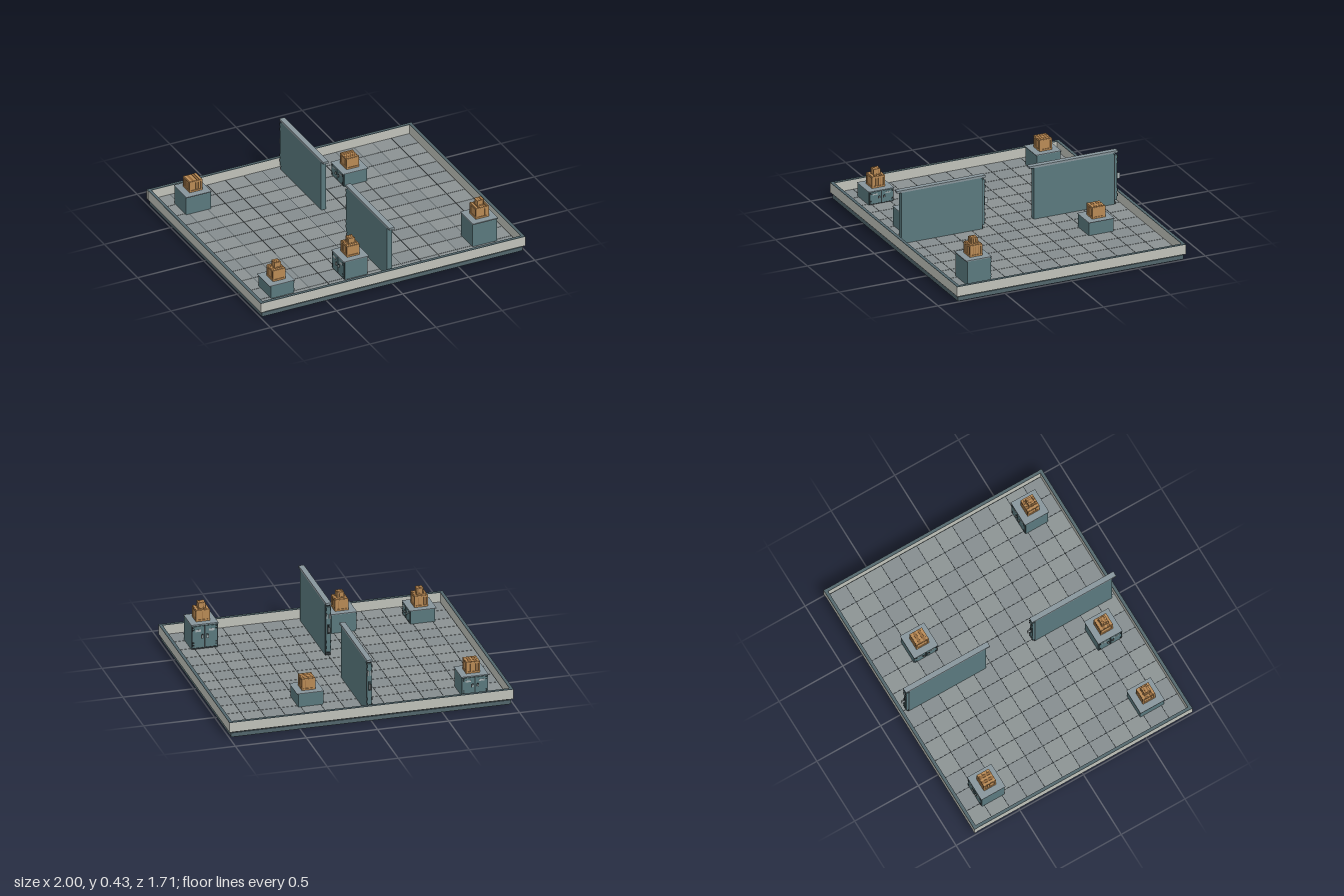
import * as THREE from 'three';

const mat = (color) => new THREE.MeshStandardMaterial({ color });
const M = {
  teal: mat(0x5a797e), base: mat(0x52666c), dark: mat(0x2b3336), cap: mat(0x87959b),
  panel: mat(0xc0c2ba), tileA: mat(0x8b9293), tileB: mat(0x858c8e),
  wood: mat(0xb98a55), woodDark: mat(0x94683a), light: mat(0xaab3b5),
};
const unitBox = new THREE.BoxGeometry(1, 1, 1);

// Box given by centre x, bottom y, centre z and size
function box(parent, name, material, x, y, z, w, h, d) {
  const m = new THREE.Mesh(unitBox, material);
  m.name = name;
  m.position.set(x, y + h / 2, z);
  m.scale.set(w, h, d);
  parent.add(m);
  return m;
}

// Cabinet in a 1 x 1 x 1 space, doors facing +z, standing on y = 0
function cabinet(name) {
  const g = new THREE.Group();
  g.name = name;
  box(g, 'body', M.teal, 0, 0, 0.005, 0.98, 0.96, 0.91);
  box(g, 'plinth', M.dark, 0, 0, 0.465, 0.94, 0.05, 0.02);
  box(g, 'worktop', M.cap, 0, 0.96, 0, 1, 0.04, 1);
  box(g, 'doorGap', M.dark, 0, 0.05, 0.462, 0.95, 0.88, 0.012);
  for (const s of [-1, 1]) {
    box(g, 'door', M.teal, s * 0.24, 0.07, 0.475, 0.43, 0.85, 0.034);
    box(g, 'doorPlate', M.light, s * 0.25, 0.7, 0.492, 0.2, 0.09, 0.012);
    box(g, 'handleMount', M.dark, s * 0.1, 0.42, 0.497, 0.09, 0.17, 0.02);
    box(g, 'handle', M.light, s * 0.1, 0.455, 0.52, 0.05, 0.1, 0.036);
    for (const y of [0.14, 0.24, 0.76, 0.86])
      box(g, 'hinge', M.dark, s * 0.42, y, 0.494, 0.06, 0.05, 0.02);
  }
  return g;
}

// Wooden crate in a 1 x 1 x 1 space, standing on y = 0
function crate(name) {
  const g = new THREE.Group();
  g.name = name;
  box(g, 'core', M.woodDark, 0, 0.02, 0, 0.86, 0.94, 0.86);
  for (let side = 0; side < 4; side++) {
    const face = new THREE.Group();
    face.name = 'crateSide';
    face.rotation.y = (side * Math.PI) / 2;
    for (let i = -1.5; i <= 1.5; i++)
      box(face, 'plank', M.wood, i * 0.2, 0.05, 0.435, 0.18, 0.86, 0.04);
    for (const y of [0, 0.82]) box(face, 'rail', M.wood, 0, y, 0.465, 0.96, 0.14, 0.07);
    box(face, 'cornerPost', M.wood, 0.44, 0, 0.44, 0.12, 0.96, 0.12);
    g.add(face);
  }
  for (let i = -2; i <= 2; i++)
    box(g, 'lidPlank', i % 2 ? M.woodDark : M.wood, i * 0.195, 0.93, 0, 0.18, 0.06, 0.96);
  for (const s of [-1, 1]) box(g, 'lidBatten', M.wood, s * 0.43, 0.96, 0, 0.1, 0.04, 0.98);
  return g;
}

function place(parent, obj, x, y, z, w, h, d, turn) {
  obj.position.set(x, y, z);
  obj.scale.set(w, h, d);
  obj.rotation.y = turn;
  parent.add(obj);
}

export function createModel() {
  const root = new THREE.Group();
  root.name = 'storageRoom';
  const floorY = 0.042;

  // Foundation
  box(root, 'foundation', M.base, 0, 0, 0, 1.97, 0.03, 1.69);
  box(root, 'subfloor', M.dark, 0, 0.03, 0, 1.955, 0.01, 1.675);

  // Floor tiles
  const tiles = new THREE.Group();
  tiles.name = 'floorTiles';
  const pitch = 0.1393;
  for (let i = 0; i < 14; i++)
    for (let j = 0; j < 12; j++)
      box(tiles, 'tile', (i * 3 + j * 5) % 4 < 2 ? M.tileA : M.tileB,
        (i - 6.5) * pitch, 0.037, (j - 5.5) * pitch, pitch - 0.004, floorY - 0.037, pitch - 0.004);
  root.add(tiles);

  // Low perimeter wall with corner posts and a dark top trim
  const rim = new THREE.Group();
  rim.name = 'perimeterWall';
  for (const s of [-1, 1]) {
    box(rim, 'longPanel', M.panel, 0, 0.04, s * 0.844, 1.95, 0.069, 0.021);
    box(rim, 'longTrim', M.base, 0, 0.109, s * 0.844, 1.95, 0.004, 0.022);
    box(rim, 'shortPanel', M.panel, s * 0.988, 0.04, 0, 0.021, 0.069, 1.67);
    box(rim, 'shortTrim', M.base, s * 0.988, 0.109, 0, 0.022, 0.004, 1.67);
    for (const t of [-1, 1]) {
      box(rim, 'cornerPost', M.panel, s * 0.9875, 0.04, t * 0.8445, 0.025, 0.069, 0.023);
      box(rim, 'cornerTrim', M.base, s * 0.9875, 0.109, t * 0.8445, 0.025, 0.004, 0.023);
    }
  }
  root.add(rim);

  // Two tall thin partitions across the middle
  for (const z of [0.508, -0.482])
    place(root, cabinet('partition'), 0, floorY, z, 0.038, 0.39, 0.66, Math.PI);

  // Cabinets: x, z, top height, turn, has a small crate on top
  const stands = [
    [-0.768, -0.625, 0.182, Math.PI, false],
    [-0.768, 0.625, 0.14, Math.PI / 2, true],
    [-0.208, 0.625, 0.182, -Math.PI / 2, true],
    [0.767, 0.627, 0.224, Math.PI, true],
    [0.35, -0.49, 0.14, -Math.PI / 2, false],
  ];
  for (const [x, z, top, turn, stacked] of stands) {
    place(root, cabinet('cabinet'), x, floorY, z, 0.19, top - floorY, 0.19, turn);
    place(root, crate('crate'), x, top, z, 0.097, 0.085, 0.094, turn);
    if (stacked) place(root, crate('smallCrate'), x, top + 0.085, z, 0.05, 0.042, 0.048, turn);
  }
  return root;
}
